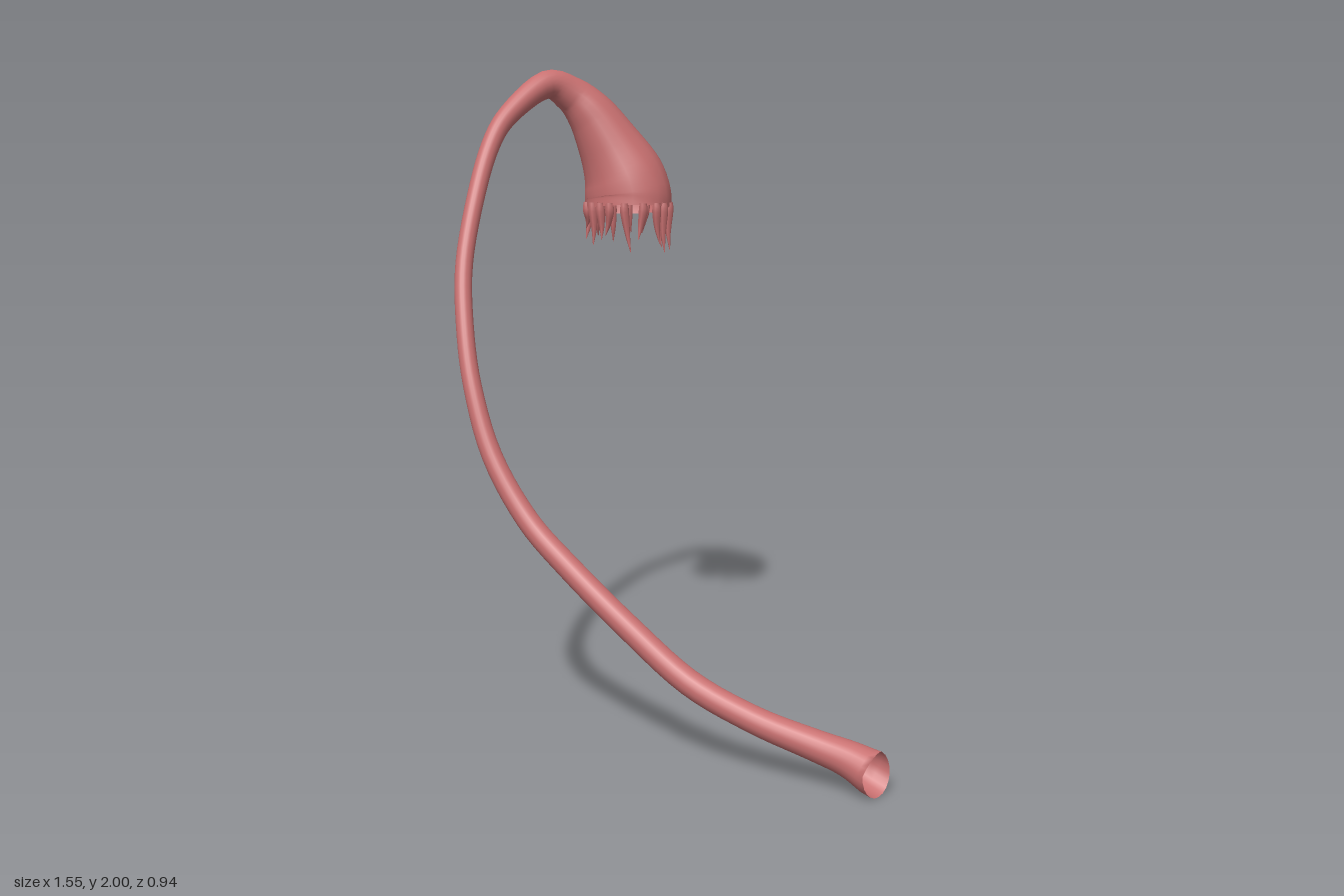
import * as THREE from 'three';

const material = new THREE.MeshStandardMaterial({ color: 0xc87070, side: THREE.DoubleSide });

// Tapered tube through rows of [x, y, z, radius, xStretch]; startDir tilts the first ring
function loft(rows, steps, sides, startDir) {
  const path = new THREE.CatmullRomCurve3(rows.map(r => new THREE.Vector3(r[0], r[1], r[2])), false, 'catmullrom', 0.5);
  const size = new THREE.CatmullRomCurve3(rows.map(r => new THREE.Vector3(r[3], r[4] ?? 1, 0)), false, 'catmullrom', 0.5);
  const positions = [], index = [];
  const n = new THREE.Vector3(0.3, 0.5, 0.8), b = new THREE.Vector3();
  for (let i = 0; i <= steps; i++) {
    const t = i / steps;
    const p = path.getPoint(t), s = size.getPoint(t);
    const dir = i === 0 && startDir ? startDir : path.getTangent(t);
    n.addScaledVector(dir, -n.dot(dir)).normalize();
    b.crossVectors(dir, n);
    for (let j = 0; j < sides; j++) {
      const a = j / sides * Math.PI * 2;
      const o = n.clone().multiplyScalar(Math.cos(a)).addScaledVector(b, Math.sin(a)).multiplyScalar(s.x);
      positions.push(p.x + o.x * s.y, p.y + o.y, p.z + o.z);
      if (i < steps) {
        const k = i * sides, j2 = (j + 1) % sides;
        index.push(k + j, k + j2, k + sides + j, k + j2, k + sides + j2, k + sides + j);
      }
    }
  }
  const g = new THREE.BufferGeometry();
  g.setAttribute('position', new THREE.Float32BufferAttribute(positions, 3));
  g.setIndex(index);
  g.computeVertexNormals();
  return g;
}

function add(group, name, geometry) {
  const mesh = new THREE.Mesh(geometry, material);
  mesh.name = name;
  group.add(mesh);
}

export function createModel() {
  const model = new THREE.Group();
  model.name = 'stalkedPod';

  // Curved stalk, from the open flared foot to the crook
  const crook = [
    [-0.74, 1.86, 0.025, 0.034], [-0.708, 1.955, -0.12, 0.045],
    [-0.67, 1.925, -0.205, 0.06], [-0.628, 1.86, -0.257, 0.08, 1.02],
  ];
  const stalk = [
    [0.762, 0.065, 0.3, 0.064], [0.68, 0.095, 0.308, 0.051], [0.58, 0.12, 0.325, 0.044],
    [0.4, 0.168, 0.358, 0.039], [0.2, 0.245, 0.383, 0.038], [0, 0.38, 0.403, 0.037],
    [-0.2, 0.53, 0.42, 0.036], [-0.35, 0.66, 0.431, 0.034], [-0.48, 0.84, 0.435, 0.031],
    [-0.57, 1.04, 0.415, 0.028], [-0.635, 1.22, 0.372, 0.027], [-0.69, 1.4, 0.308, 0.027],
    [-0.725, 1.6, 0.21, 0.028], [-0.745, 1.76, 0.113, 0.03],
  ];
  // Hollow pod hanging from the crook, open at the mouth
  const pod = [
    [-0.588, 1.765, -0.298, 0.102, 1.06], [-0.555, 1.67, -0.33, 0.126, 1.1],
    [-0.54, 1.6, -0.338, 0.131, 1.16], [-0.535, 1.55, -0.332, 0.126, 1.2],
  ];
  const foot = new THREE.Vector3(-1, -0.1, -0.12).normalize();
  add(model, 'stalkAndPod', loft([...stalk, ...crook, ...pod], 105, 20, foot));

  // Ragged fringe of tapering teeth around the mouth
  const fringe = new THREE.Group();
  fringe.name = 'fringe';
  const count = 18;
  for (let i = 0; i < count; i++) {
    const a = i / count * Math.PI * 2 + 0.08 * Math.sin(i * 5);
    const c = Math.cos(a), s = Math.sin(a);
    const length = 0.1 + 0.028 * Math.sin(i * 2.3 + 1) + 0.015 * c;
    const sway = 0.014 * Math.sin(i * 3.7);
    const at = (f, y, k) => [-0.535 + 0.147 * f * c - sway * k * s, y, -0.332 + 0.123 * f * s + sway * k * c];
    add(fringe, 'tooth', loft([
      [...at(1, 1.575, 0), 0.012], [...at(0.99, 1.545, 0), 0.015],
      [...at(0.97, 1.55 - length * 0.55, 0.6), 0.009],
      [...at(1.01, 1.55 - length, 1.4), 0.001],
    ], 9, 6));
  }
  model.add(fringe);
  return model;
}
